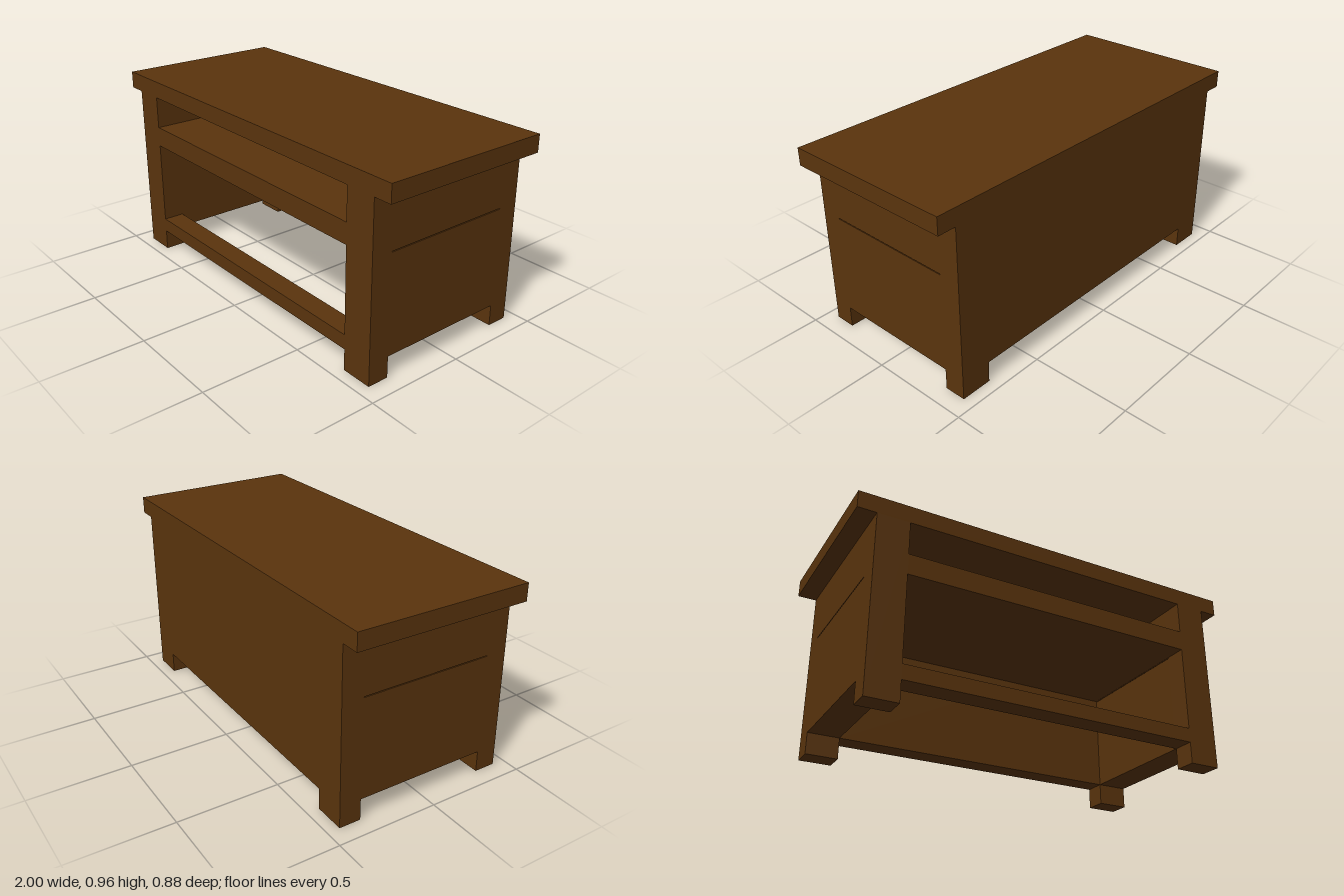
import * as THREE from 'three';

export function createModel() {
  const group = new THREE.Group();
  group.name = 'sideboard';
  const wood = new THREE.MeshStandardMaterial({ color: 0x5a340d });
  wood.name = 'dark brown wood';

  // Box given by its lower and upper bounds on each axis
  function box(name, [x0, x1], [y0, y1], [z0, z1]) {
    const mesh = new THREE.Mesh(new THREE.BoxGeometry(x1 - x0, y1 - y0, z1 - z0), wood);
    mesh.name = name;
    mesh.position.set((x0 + x1) / 2, (y0 + y1) / 2, (z0 + z1) / 2);
    group.add(mesh);
  }

  const outer = 0.908, inner = 0.75; // leg bounds in x
  const depth = 0.438, legZ = 0.331; // leg bounds in z
  const base = 0.106, under = 0.871, top = 0.957;
  const span = [-inner, inner];

  // Table top
  box('tableTop', [-1, 1], [under, top], [-depth, depth]);

  for (const s of [-1, 1]) {
    const xs = s > 0 ? [inner, outer] : [-outer, -inner];
    // Corner legs
    box('frontLeg', xs, [0, under], [legZ, depth]);
    box('backLeg', xs, [0, under], [-depth, -legZ]);
    // Side panels, parted by a hairline gap
    box('lowerSidePanel', xs, [base, 0.601], [-legZ, legZ]);
    box('upperSidePanel', xs, [0.605, under], [-legZ, legZ]);
  }

  // Back panel
  box('backPanel', span, [base, under], [-depth, -legZ]);
  // Shelf under the open slot, flush with the front legs
  box('shelf', span, [0.606, 0.708], [-legZ, depth]);
  // Rail along the bottom of the front opening
  box('frontRail', span, [base, 0.178], [legZ, depth]);

  return group;
}
